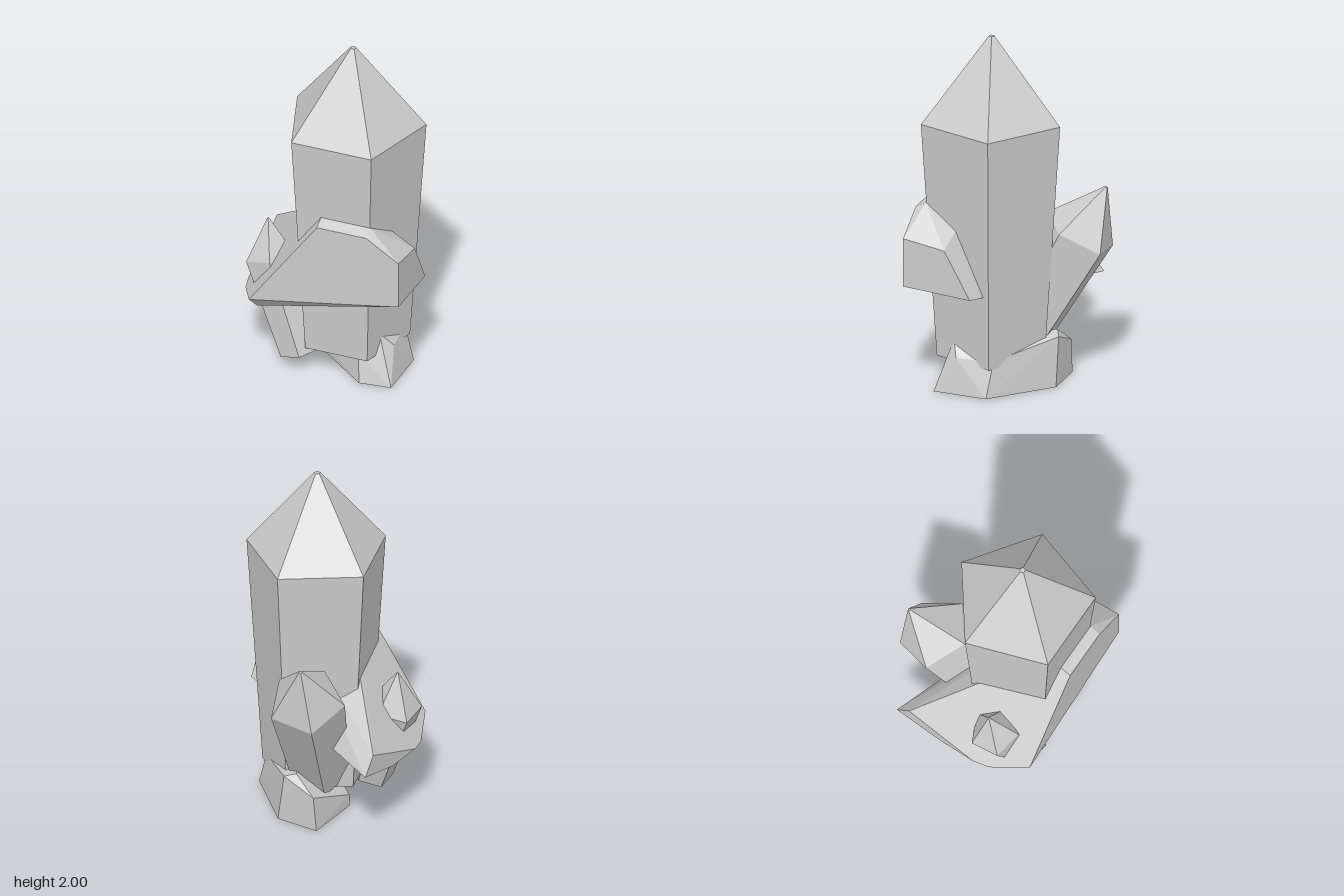
import * as THREE from 'three';
import { ConvexGeometry } from 'three/addons/geometries/ConvexGeometry.js';

const material = new THREE.MeshStandardMaterial({ color: 0xcccccc, flatShading: true });

// Faceted solid wrapped around a few corner points
function solid(name, points) {
  const mesh = new THREE.Mesh(new ConvexGeometry(points), material);
  mesh.name = name;
  return mesh;
}

// Five-sided crystal: narrow base ring, wide shoulder ring, tiny tip ring
function crystal(name, { base, shoulder, tip, rBase, rShoulder, rTip, phase }) {
  const centres = [base, shoulder, tip].map((p) => new THREE.Vector3(...p));
  const axis = centres[2].clone().sub(centres[0]).normalize();
  const tilt = new THREE.Quaternion().setFromUnitVectors(new THREE.Vector3(0, 1, 0), axis);
  const points = [];
  [rBase, rShoulder, rTip].forEach((r, k) => {
    for (let i = 0; i < 5; i++) {
      const a = THREE.MathUtils.degToRad(phase + i * 72);
      points.push(new THREE.Vector3(r * Math.cos(a), 0, r * Math.sin(a)).applyQuaternion(tilt).add(centres[k]));
    }
  });
  return solid(name, points);
}

const rock = (name, corners) => solid(name, corners.map((c) => new THREE.Vector3(...c)));

export function createModel() {
  const model = new THREE.Group();
  model.name = 'crystalCluster';

  // Upright main crystal
  model.add(crystal('mainCrystal', {
    base: [0.09, 0.16, 0.13], shoulder: [0.09, 1.52, 0.13], tip: [0.09, 2, 0.13],
    rBase: 0.31, rShoulder: 0.4, rTip: 0.017, phase: -90,
  }));

  // Crystal leaning backwards
  model.add(crystal('backCrystal', {
    base: [-0.01, 0.21, 0.01], shoulder: [-0.12, 0.83, -0.304], tip: [-0.17, 1.1, -0.44],
    rBase: 0.165, rShoulder: 0.215, rTip: 0.009, phase: -57,
  }));

  // Small crystal piercing the slab
  model.add(crystal('smallCrystal', {
    base: [-0.15, 0.09, 0.32], shoulder: [-0.355, 0.62, 0.24], tip: [-0.375, 0.84, 0.22],
    rBase: 0.11, rShoulder: 0.14, rTip: 0.006, phase: -148,
  }));

  // Sloping slab around the main crystal
  model.add(rock('slab', [
    // flat front face
    [-0.38, 0.47, 0.49], [0.02, 1.03, 0.49], [0.31, 1.03, 0.49], [0.5, 0.91, 0.49], [0.5, 0.63, 0.49],
    // top
    [0.02, 1.06, 0.43], [0.31, 1.06, 0.43], [0, 1.07, 0.31], [0.3, 0.97, 0.23],
    // right end
    [0.5, 0.87, 0.25], [0.5, 0.6, 0.1],
    // left end and underside
    [-0.5, 0.57, -0.22], [-0.5, 0.47, -0.3], [-0.5, 0.41, -0.02], [-0.5, 0.41, 0.2],
    [-0.48, 0.405, 0.29], [-0.36, 0.395, 0.42],
  ]));

  // Low rock the cluster stands on
  model.add(rock('baseRock', [
    // footprint
    [0.22, 0, 0.37], [0.4, 0, 0.35], [0.41, 0, 0.04], [0.1, 0, -0.25], [-0.15, 0, -0.25], [-0.15, 0, 0.08],
    // upper corners
    [0.3, 0.28, 0.27], [0.37, 0.2, 0.23], [0.2, 0.16, 0.33], [-0.15, 0.07, 0.08],
    [0, 0.17, 0.15], [0, 0.3, -0.22], [0.06, 0.28, -0.25], [-0.13, 0.2, -0.25], [0.35, 0.2, 0.02],
  ]));

  return model;
}
